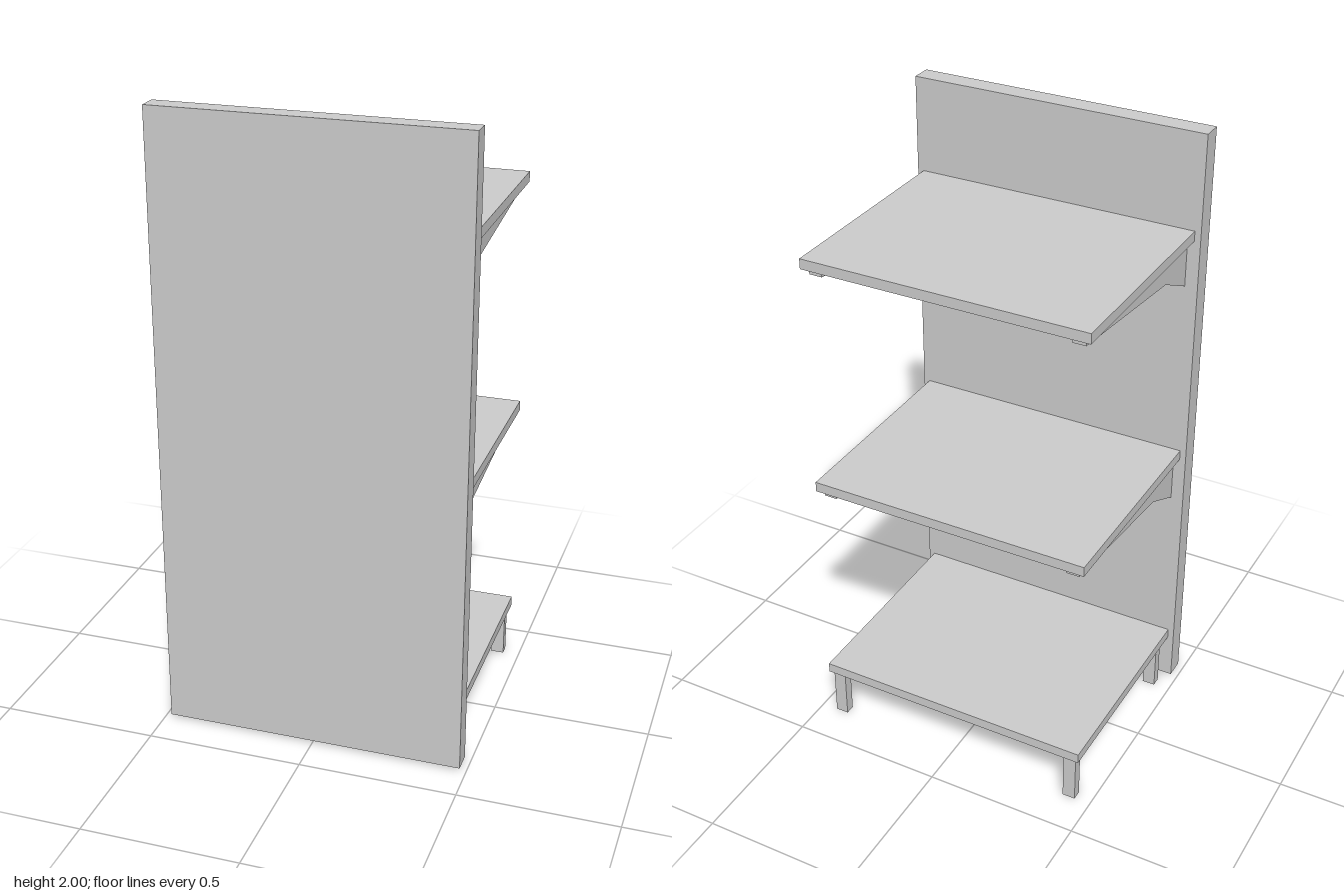
import * as THREE from 'three';

const material = new THREE.MeshStandardMaterial({ color: 0xcccccc, flatShading: true });

export function createModel() {
  const model = new THREE.Group();
  model.name = 'shelfUnit';

  const add = (name, geometry) => {
    const mesh = new THREE.Mesh(geometry, material);
    mesh.name = name;
    model.add(mesh);
    return mesh;
  };

  // Box given by its lower and upper limits on each axis
  const box = (name, [x0, x1], [y0, y1], [z0, z1]) =>
    add(name, new THREE.BoxGeometry(x1 - x0, y1 - y0, z1 - z0))
      .position.set((x0 + x1) / 2, (y0 + y1) / 2, (z0 + z1) / 2);

  // Upright panel
  box('panel', [-0.48, 0.48], [0.01, 2], [0.315, 0.38]);

  // Shelves
  const shelfBottoms = { lower: 0.167, middle: 0.894, upper: 1.661 };
  for (const [level, y] of Object.entries(shelfBottoms)) {
    box(`${level}Shelf`, [-0.46, 0.46], [y, y + 0.033], [-0.38, 0.315]);
  }

  // Bracket profile: x runs along depth, y down from the shelf underside
  const profile = new THREE.Shape([
    [0.315, 0], [-0.365, 0], [-0.365, -0.018], [0.164, -0.079], [0.315, -0.153],
  ].map(([z, y]) => new THREE.Vector2(z, y)));
  const bracketWidth = 0.042;
  const bracket = new THREE.ExtrudeGeometry(profile, { depth: bracketWidth, bevelEnabled: false })
    .translate(0, 0, -bracketWidth / 2)
    .rotateY(-Math.PI / 2);

  for (const [side, sign] of [['left', 1], ['right', -1]]) {
    // Brackets under the two wall-hung shelves
    for (const level of ['middle', 'upper']) {
      add(`${side}${level}Bracket`, bracket).position.set(sign * 0.418, shelfBottoms[level], 0);
    }
    // Legs under the lowest shelf
    for (const [end, z] of [['Front', 0.264], ['Back', -0.354]]) {
      const x = sign * 0.426;
      box(`${side}${end}Leg`, [x - 0.021, x + 0.021], [0, shelfBottoms.lower], [z - 0.016, z + 0.016]);
    }
  }

  return model;
}
